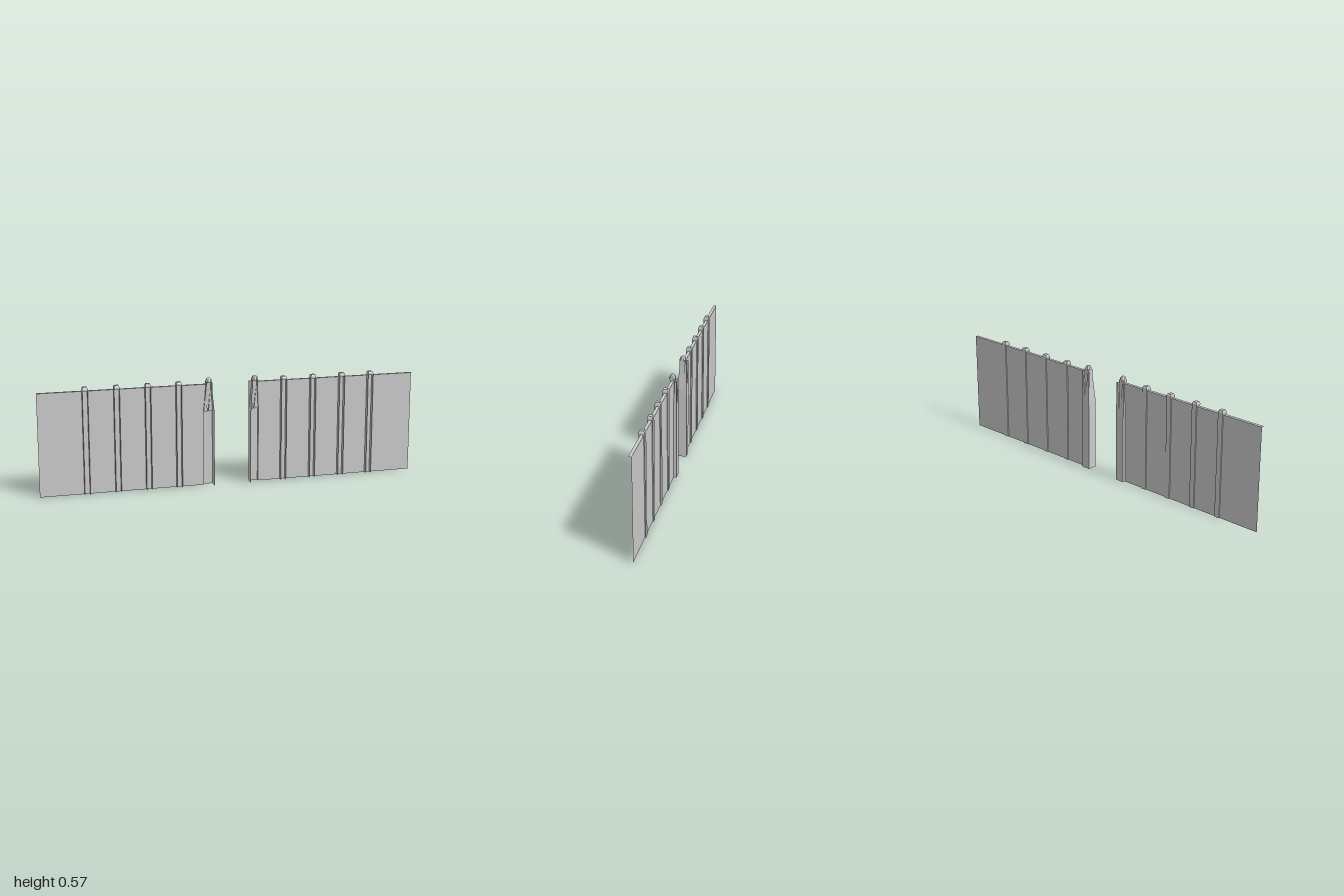
import * as THREE from 'three';

const mat = new THREE.MeshStandardMaterial({ color: 0xcccccc, flatShading: true, side: THREE.DoubleSide });

// Mesh from a list of quads, each four corners [x, y, z]
function quads(name, list) {
  const pos = [];
  for (const [a, b, c, d] of list) pos.push(...a, ...b, ...c, ...a, ...c, ...d);
  const geo = new THREE.BufferGeometry();
  geo.setAttribute('position', new THREE.Float32BufferAttribute(pos, 3));
  geo.computeVertexNormals();
  const mesh = new THREE.Mesh(geo, mat);
  mesh.name = name;
  return mesh;
}

// Sheet surfaces between stacked open outlines, one outline per height
function loft(name, rows) {
  const list = [];
  for (let i = 0; i < rows.length - 1; i++)
    for (let j = 0; j < rows[i].length - 1; j++)
      list.push([rows[i][j], rows[i][j + 1], rows[i + 1][j + 1], rows[i + 1][j]]);
  return quads(name, list);
}

const WALL_Z = -0.01, WALL_TOP = 0.537;
const POST_X = 0.1225, POST_R = 0.0245;

// Flat wall sheet, notched around the tapering post, with a narrow top ledge
function makeWall() {
  const group = new THREE.Group();
  group.name = 'wallPanel';
  const shape = new THREE.Shape([
    [POST_X + POST_R, 0], [1, 0], [1, WALL_TOP], [0.13, WALL_TOP], [POST_X + POST_R, 0.41],
  ].map(([x, y]) => new THREE.Vector2(x, y)));
  const sheet = new THREE.Mesh(new THREE.ShapeGeometry(shape), mat);
  sheet.name = 'wallSheet';
  sheet.position.z = WALL_Z;
  const y = WALL_TOP, z = 0.006;
  group.add(sheet, quads('topLedge', [[[0.13, y, z], [1, y, z], [1, y, WALL_Z], [0.13, y, WALL_Z]]]));
  return group;
}

// Channel-shaped rib, open to the front, with a bevelled cap
function makeRib(x) {
  const row = (y, w, z0, z1) => [[x - w, y, z1], [x - w, y, z0], [x + w, y, z0], [x + w, y, z1]];
  const top = row(0.557, 0.01, -0.011, 0.01);
  const rib = new THREE.Group();
  rib.name = 'rib';
  rib.add(
    loft('ribChannel', [row(0, 0.014, -0.015, 0.014), row(0.548, 0.014, -0.015, 0.014), top]),
    quads('ribCap', [
      top,
      [[x - 0.014, 0.548, 0.014], [x + 0.014, 0.548, 0.014], top[3], top[0]],
      [[x - 0.014, 0.537, 0.014], [x + 0.014, 0.537, 0.014], [x + 0.014, 0.548, 0.014], [x - 0.014, 0.548, 0.014]],
    ]),
  );
  return rib;
}

// Gate post: an open sheet that tapers to a neck, with two corner prongs and a round finial
function makePost() {
  const post = new THREE.Group();
  post.name = 'gatePost';
  const row = (y, r, front) => [
    [POST_X - r, y, r], [POST_X - r, y, -r], [POST_X + r, y, -r], [POST_X + r, y, front]];
  post.add(loft('postShaft', [
    row(0, POST_R, WALL_Z), row(0.39, POST_R, WALL_Z), row(0.515, 0.0145, 0.004), row(0.55, 0.0145, 0.0145)]));

  // Prongs keep the full post corner and narrow upwards, leaving a V between them
  for (const s of [-1, 1]) {
    const ring = (y, w) => {
      const x0 = POST_X + s * POST_R, x1 = x0 - s * w, z0 = -POST_R, z1 = z0 + 0.0095;
      return [[x0, y, z1], [x0, y, z0], [x1, y, z0], [x1, y, z1], [x0, y, z1]];
    };
    const top = ring(WALL_TOP, 0.009);
    post.add(loft('postProng', [ring(0.39, 0.022), top]), quads('prongTop', [top.slice(0, 4)]));
  }

  // Finial
  const profile = [[0, 0.545], [0.0175, 0.545], [0.0165, 0.555], [0.012, 0.565], [0.005, 0.57], [0, 0.57]];
  const finial = new THREE.Mesh(
    new THREE.LatheGeometry(profile.map(([r, y]) => new THREE.Vector2(r, y)), 8, Math.PI / 8), mat);
  finial.name = 'finial';
  finial.position.x = POST_X;
  post.add(finial);
  return post;
}

export function createModel() {
  const model = new THREE.Group();
  model.name = 'fenceWithGap';
  for (const s of [1, -1]) {
    const half = new THREE.Group();
    half.name = s > 0 ? 'leftFence' : 'rightFence';
    half.add(makeWall(), makePost());
    for (const x of [0.28, 0.44, 0.6, 0.76]) half.add(makeRib(x));
    half.scale.x = s;
    model.add(half);
  }
  return model;
}
